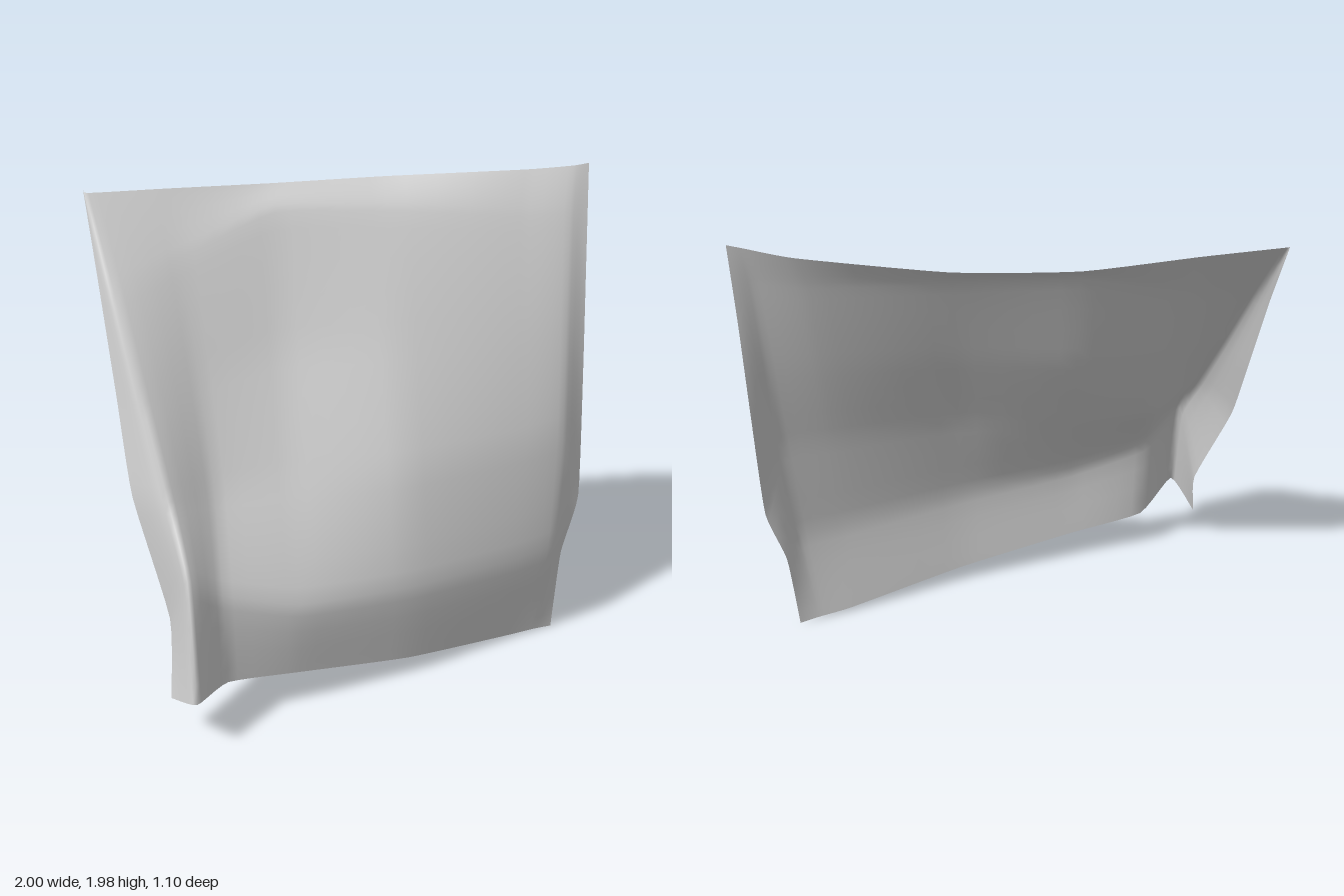
import * as THREE from 'three';

// Softly tensioned curve: gentle bends without overshoot at the folds
const curve = (points) => new THREE.CatmullRomCurve3(points, false, 'catmullrom', 0.25);

// Vertical threads of the sheet, each running from the top rim to the bottom hem
const p = (x, y, z) => new THREE.Vector3(x, y, z);
const threads = [
  // free edge of the folded strip
  [p(-1, 1.98, -.45), p(-.965, 1.65, -.28), p(-.925, 1.25, -.1), p(-.89, .9, .07), p(-.775, .45, .26), p(-.79, .17, .4)],
  // fold ridge
  [p(-.98, 1.97, -.44), p(-.91, 1.65, -.23), p(-.83, 1.27, .01), p(-.76, .95, .22), p(-.71, .7, .4), p(-.7, .23, .55)],
  // body of the sheet
  [p(-.68, 1.955, -.48), p(-.64, 1.72, -.34), p(-.6, 1.3, -.14), p(-.57, .9, .08), p(-.57, .58, .33), p(-.56, .19, .35)],
  [p(-.26, 1.93, -.54), p(-.26, 1.84, -.45), p(-.26, 1.35, -.23), p(-.26, .9, .02), p(-.26, .48, .28), p(-.26, .15, .26)],
  [p(.2, 1.93, -.55), p(.2, 1.82, -.45), p(.2, 1.35, -.22), p(.2, .9, .005), p(.2, .44, .15), p(.2, .08, .115)],
  [p(.75, 1.95, -.49), p(.72, 1.78, -.42), p(.7, 1.35, -.27), p(.68, .9, -.12), p(.66, .42, -.03), p(.65, .02, -.08)],
  // turned-back edge
  [p(.94, 1.97, -.455), p(.92, 1.78, -.4), p(.9, 1.35, -.29), p(.88, .9, -.18), p(.84, .42, -.11), p(.78, .01, -.13)],
  [p(1, 1.98, -.45), p(.99, 1.6, -.375), p(.98, 1.1, -.29), p(.965, .6, -.21), p(.895, .35, -.18), p(.86, 0, -.16)],
].map(curve);

export function createModel() {
  const rows = 25, cols = 35;
  const positions = [], indices = [];

  // Sample every thread at the same step, then loft across them
  for (let r = 0; r <= rows; r++) {
    const across = curve(threads.map((c) => c.getPoint(r / rows)));
    for (let c = 0; c <= cols; c++) positions.push(...across.getPoint(c / cols).toArray());
  }
  for (let r = 0; r < rows; r++) {
    for (let c = 0; c < cols; c++) {
      const a = r * (cols + 1) + c, b = a + cols + 1;
      indices.push(a, b, a + 1, b, b + 1, a + 1);
    }
  }
  const geometry = new THREE.BufferGeometry();
  geometry.setAttribute('position', new THREE.Float32BufferAttribute(positions, 3));
  geometry.setIndex(indices);
  geometry.computeVertexNormals();

  const cloth = new THREE.Mesh(geometry, new THREE.MeshStandardMaterial({ color: 0xcccccc, side: THREE.DoubleSide }));
  cloth.name = 'clothSheet';
  const group = new THREE.Group();
  group.name = 'hangingCloth';
  group.add(cloth);
  return group;
}
